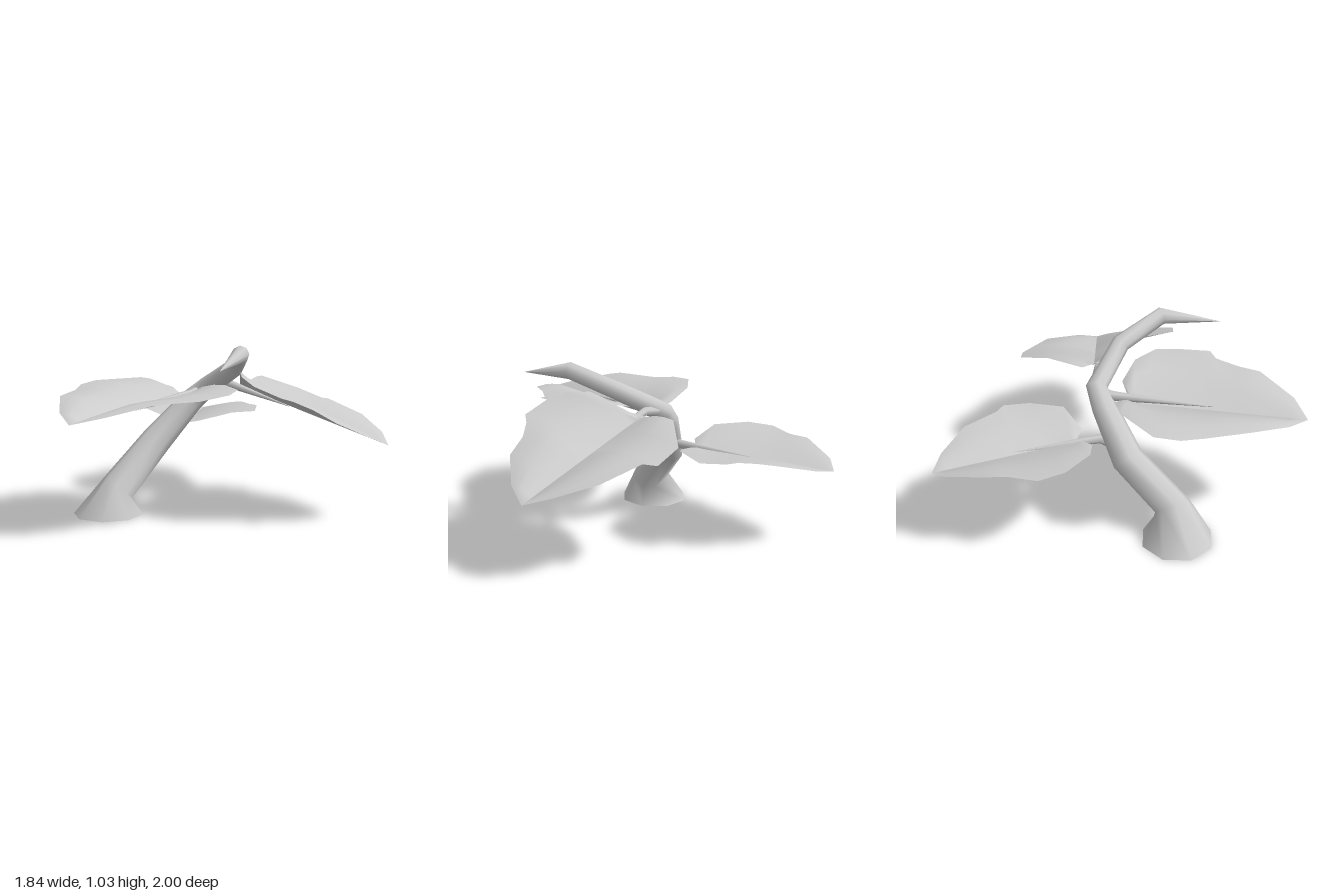
import * as THREE from 'three';
import { mergeVertices } from 'three/addons/utils/BufferGeometryUtils.js';

const material = new THREE.MeshStandardMaterial({ color: 0xcccccc, side: THREE.DoubleSide });

// Builds a smooth mesh from rows of points, joined row to row and along each row.
function skin(name, rows) {
  const cols = rows[0].length;
  const index = [];
  for (let j = 0; j < rows.length - 1; j++) {
    for (let i = 0; i < cols; i++) {
      const k = (i + 1) % cols;
      const a = j * cols + i, b = j * cols + k;
      index.push(a, b, a + cols, b, b + cols, a + cols);
    }
  }
  let geometry = new THREE.BufferGeometry().setFromPoints(rows.flat());
  geometry.setIndex(index);
  geometry = mergeVertices(geometry, 1e-4);
  geometry.computeVertexNormals();
  const mesh = new THREE.Mesh(geometry, material);
  mesh.name = name;
  return mesh;
}

// Tapered limb through rings [x, y, z, radius]; normals may override ring tilts.
function limb(name, rings, sides, normals = {}) {
  const centres = rings.map(([x, y, z]) => new THREE.Vector3(x, y, z));
  const last = centres.length - 1;
  const direction = (i) => centres[i + 1].clone().sub(centres[i]).normalize();
  let u = new THREE.Vector3(1, 0, 0.3);
  const rows = centres.map((c, j) => {
    const t = new THREE.Vector3();
    if (normals[j]) t.set(...normals[j]);
    else {
      if (j > 0) t.add(direction(j - 1));
      if (j < last) t.add(direction(j));
    }
    t.normalize();
    u = u.clone().addScaledVector(t, -u.dot(t)).normalize();
    const v = t.clone().cross(u);
    return Array.from({ length: sides }, (_, i) => {
      const a = (i / sides) * Math.PI * 2, r = rings[j][3];
      return c.clone().addScaledVector(u, r * Math.cos(a)).addScaledVector(v, r * Math.sin(a));
    });
  });
  return skin(name, rows);
}

// Leaf blade: a straight midrib, an uneven rim, and a bulge between the two.
function leaf(name, ribStart, ribEnd, rim, bulge) {
  const rib = new THREE.Line3(new THREE.Vector3(...ribStart), new THREE.Vector3(...ribEnd));
  const edge = rim.map((p) => new THREE.Vector3(...p));
  const inner = edge.map((p) => rib.closestPointToPoint(p, true, new THREE.Vector3()));
  const steps = 4;
  const rows = [];
  for (let s = steps; s >= 0; s--) {
    const f = s / steps;
    rows.push(edge.map((p, i) => {
      const q = inner[i].clone().lerp(p, f);
      q.y += bulge * Math.sin(Math.PI * f) * Math.min(1, inner[i].distanceTo(p) / 0.4);
      return q;
    }));
  }
  return skin(name, rows);
}

export function createModel() {
  const group = new THREE.Group();
  group.name = 'plant';

  // Leaning stem with a flared, open foot and a pointed, hooked top
  group.add(limb('stem', [
    [-0.575, 0, 0.32, 0.208],
    [-0.51, 0.175, 0.285, 0.105],
    [-0.43, 0.42, 0.02, 0.092],
    [-0.28, 0.65, -0.13, 0.072],
    [-0.2, 0.735, -0.185, 0.062],
    [0.06, 0.88, -0.085, 0.054],
    [0.235, 0.985, 0.13, 0.05],
    [0.316, 0.93, 0.466, 0.001],
  ], 8, { 0: [0, 1, 0], 1: [0.5, 0.75, -0.4] }));

  // Pointed leaf stalks
  group.add(limb('frontStalk', [
    [-0.24, 0.72, -0.16, 0.034], [-0.24, 0.705, -0.09, 0.028], [-0.26, 0.69, 0.48, 0.001],
  ], 6));
  group.add(limb('leftStalk', [
    [-0.2, 0.74, -0.19, 0.034], [-0.05, 0.765, -0.2, 0.026], [0.34, 0.65, -0.256, 0.001],
  ], 6));
  group.add(limb('backStalk', [
    [-0.39, 0.47, -0.02, 0.036], [-0.37, 0.5, -0.14, 0.028], [-0.555, 0.485, -0.61, 0.001],
  ], 6));

  // Leaf blades
  group.add(leaf('frontLeaf', [-0.25, 0.675, 0.03], [-0.28, 0.66, 1], [
    [-0.22, 0.68, 0], [-0.37, 0.74, -0.06], [-0.56, 0.79, 0], [-0.75, 0.78, 0.2],
    [-0.75, 0.77, 0.34], [-0.69, 0.755, 0.46], [-0.6, 0.755, 0.7], [-0.43, 0.7, 0.9],
    [-0.28, 0.66, 1], [-0.12, 0.7, 0.92], [0.06, 0.755, 0.72], [0.1, 0.755, 0.6],
    [0.18, 0.755, 0.46], [0.24, 0.77, 0.42], [0.24, 0.77, 0.25], [0.2, 0.78, 0.1],
    [0.05, 0.785, 0], [-0.13, 0.74, -0.05],
  ], 0.045));
  group.add(leaf('leftLeaf', [0.04, 0.74, -0.24], [0.92, 0.46, -0.37], [
    [-0.02, 0.75, -0.3], [0.04, 0.77, -0.18], [0.17, 0.87, 0.03], [0.25, 0.86, 0.14],
    [0.36, 0.82, 0.19], [0.52, 0.765, 0.17], [0.56, 0.74, 0.1], [0.64, 0.69, 0.02],
    [0.76, 0.62, -0.03], [0.88, 0.52, -0.22], [0.92, 0.46, -0.37], [0.82, 0.51, -0.5],
    [0.62, 0.58, -0.64], [0.37, 0.65, -0.68], [0.31, 0.64, -0.73], [0.14, 0.7, -0.7],
    [0.0, 0.785, -0.5],
  ], 0.035));
  group.add(leaf('backLeaf', [-0.42, 0.495, -0.29], [-0.77, 0.46, -1], [
    [-0.38, 0.49, -0.27], [-0.3, 0.51, -0.26], [-0.15, 0.555, -0.39], [-0.11, 0.54, -0.6],
    [-0.18, 0.555, -0.74], [-0.25, 0.555, -0.76], [-0.33, 0.55, -0.83], [-0.41, 0.54, -0.91],
    [-0.62, 0.49, -0.99], [-0.77, 0.46, -1], [-0.85, 0.5, -0.9], [-0.91, 0.56, -0.67],
    [-0.89, 0.56, -0.55], [-0.92, 0.57, -0.38], [-0.84, 0.58, -0.25], [-0.65, 0.575, -0.15],
    [-0.47, 0.52, -0.17],
  ], 0.02));

  return group;
}
